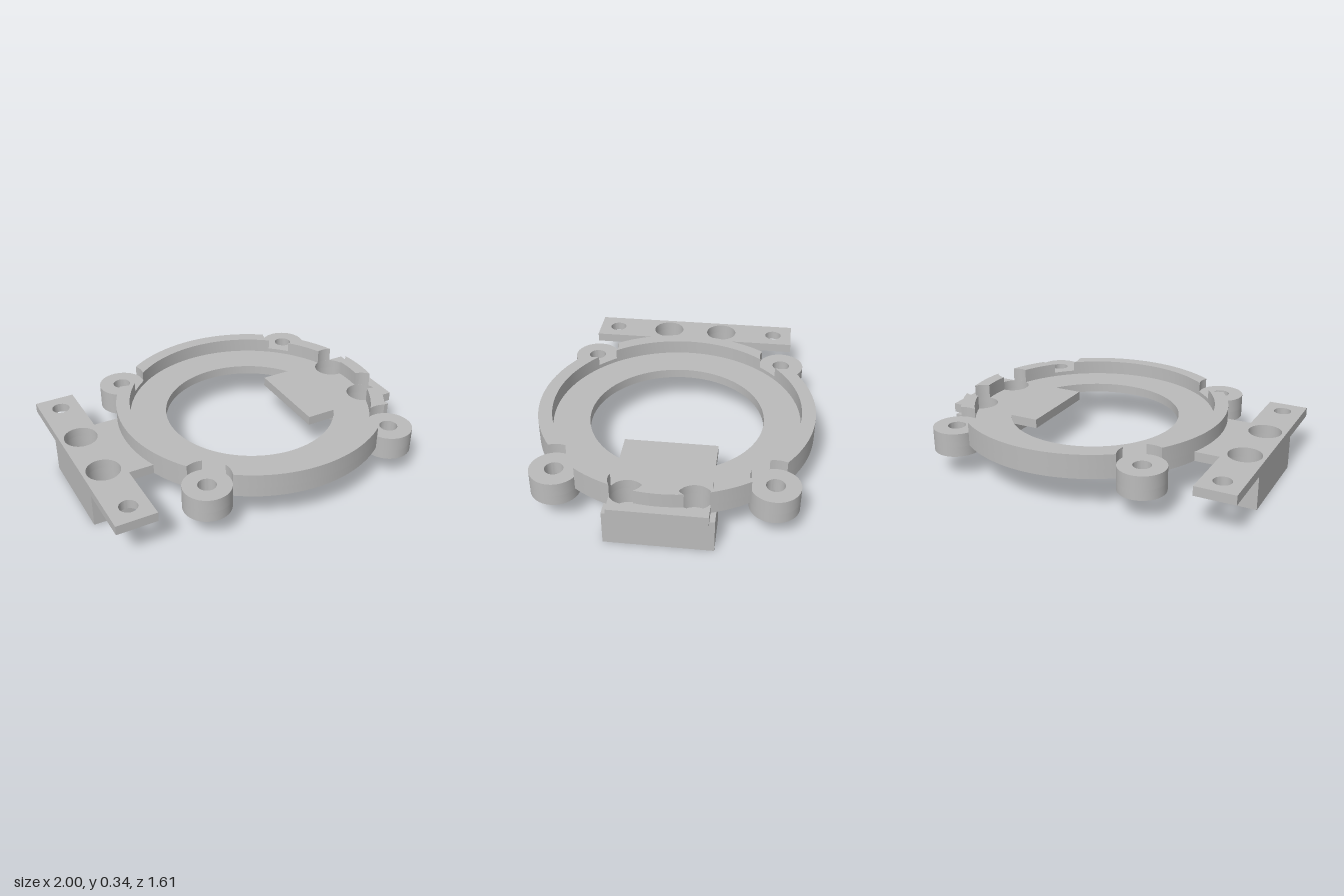
import * as THREE from 'three';
import { toCreasedNormals } from 'three/addons/utils/BufferGeometryUtils.js';

const CX = 0.14;                                   // ring centre on x
const OUTER = 0.805, RIM_IN = 0.725, BORE = 0.51;  // ring radii
const TAB = 0.267;                                 // half width of both tabs
const SCREW = 0.052, COUNTERBORE = 0.097, LUG = 0.137;
const Y_PLATE = 0.2, Y_FLOOR = 0.255, Y_RIM = 0.34;

// Point on a circle about the ring centre
const polar = (r, a) => new THREE.Vector2(CX + r * Math.cos(a), r * Math.sin(a));

function arc(r, a0, a1) {
  const n = Math.max(2, Math.ceil(Math.abs(a1 - a0) / 0.05));
  return Array.from({ length: n + 1 }, (_, i) => polar(r, a0 + (a1 - a0) * i / n));
}

function circle(x, z, r, n = 40) {
  return Array.from({ length: n }, (_, i) => {
    const a = i / n * Math.PI * 2;
    return new THREE.Vector2(x + r * Math.cos(a), z + r * Math.sin(a));
  });
}

// A round cut through the rim, given by its centre and radius
function makeCut(x, z, r) {
  const d = Math.hypot(x - CX, z);
  const angle = (Math.atan2(z, x - CX) + Math.PI * 2) % (Math.PI * 2);
  const half = R => Math.acos((R * R + d * d - r * r) / (2 * R * d));
  // Cut edge from the outer to the inner radius, on one side of the cut
  const edge = side => Array.from({ length: 9 }, (_, i) => {
    const R = OUTER + (RIM_IN - OUTER) * i / 8;
    return polar(R, angle + side * half(R));
  });
  return { angle, half, edge };
}

// Extrude a plan outline between two heights
function slab(outline, holes, y0, y1) {
  const shape = new THREE.Shape(outline);
  holes.forEach(h => shape.holes.push(new THREE.Path(h)));
  const g = new THREE.ExtrudeGeometry(shape, { depth: y1 - y0, bevelEnabled: false });
  g.rotateX(-Math.PI / 2).translate(0, y0, 0);
  return toCreasedNormals(g, 0.4);
}

const rect = (x0, x1, z) => [[x0, -z], [x1, -z], [x1, z], [x0, z]].map(p => new THREE.Vector2(...p));

export function createModel() {
  const model = new THREE.Group();
  model.name = 'mountingRing';
  const grey = new THREE.MeshStandardMaterial({ color: 0xbbbbbb });
  grey.name = 'grey';
  const add = (name, geometry) => {
    const mesh = new THREE.Mesh(geometry, grey);
    mesh.name = name;
    model.add(mesh);
  };

  const lugs = [[0.735, 0.595], [-0.455, 0.595], [-0.455, -0.595], [0.735, -0.595]];
  const lugCuts = lugs.map(([x, z]) => makeCut(x, z, LUG));
  const boreCuts = [0.18, -0.18].map(z => makeCut(0.85, z, COUNTERBORE));

  // Base plate: ring floor, inner and outer tabs and the mounting strip in one outline
  const tabAngle = Math.asin(TAB / OUTER);
  const outline = [new THREE.Vector2(1, -TAB), new THREE.Vector2(1, TAB)];
  let from = tabAngle;
  const bite = cut => {
    const h = cut.half(OUTER), k = cut.half(RIM_IN);
    outline.push(...arc(OUTER, from, cut.angle - h).slice(0, -1), ...cut.edge(-1),
      ...arc(RIM_IN, cut.angle - k, cut.angle + k).slice(1, -1),
      ...cut.edge(1).reverse().slice(0, -1));
    from = cut.angle + h;
  };
  bite(lugCuts[0]);
  bite(lugCuts[1]);
  outline.push(...arc(OUTER, from, Math.PI - tabAngle));
  const strip = [[-0.765, TAB], [-0.765, 0.655], [-1, 0.655], [-1, -0.655], [-0.765, -0.655], [-0.765, -TAB]];
  outline.push(...strip.map(p => new THREE.Vector2(...p)));
  from = Math.PI + tabAngle;
  bite(lugCuts[2]);
  bite(lugCuts[3]);
  outline.push(...arc(OUTER, from, Math.PI * 2 - tabAngle));

  const boreAngle = Math.asin(TAB / BORE);
  const opening = [...arc(BORE, boreAngle, Math.PI * 2 - boreAngle),
    new THREE.Vector2(0.4, -TAB), new THREE.Vector2(0.4, TAB)];
  const plateHoles = [opening];
  for (const s of [1, -1]) {
    plateHoles.push(circle(0.85, s * 0.18, COUNTERBORE), circle(-0.88, s * 0.18, COUNTERBORE),
      circle(-0.88, s * 0.535, SCREW));
  }
  add('basePlate', slab(outline, plateHoles, Y_PLATE, Y_FLOOR));

  // Raised rim, broken at every lug and counterbore
  const cuts = [...lugCuts, ...boreCuts].sort((a, b) => a.angle - b.angle);
  cuts.forEach((cut, i) => {
    const next = cuts[(i + 1) % cuts.length];
    const end = next.angle + (i === cuts.length - 1 ? Math.PI * 2 : 0);
    const segment = [
      ...arc(OUTER, cut.angle + cut.half(OUTER), end - next.half(OUTER)).slice(0, -1),
      ...next.edge(-1),
      ...arc(RIM_IN, end - next.half(RIM_IN), cut.angle + cut.half(RIM_IN)).slice(1, -1),
      ...cut.edge(1).reverse().slice(0, -1),
    ];
    add('rimSegment', slab(segment, [], Y_FLOOR, Y_RIM));
  });

  // Screw lugs: round hole above, hexagonal nut pocket below
  for (const [x, z] of lugs) {
    const top = circle(x, z, LUG, 48).map(p => {
      const r = Math.hypot(p.x - CX, p.y);
      return r < RIM_IN ? polar(RIM_IN, Math.atan2(p.y, p.x - CX)) : p;
    });
    add('lugTop', slab(top, [circle(x, z, SCREW)], Y_PLATE, 0.28));
    add('lugNutPocket', slab(circle(x, z, LUG, 48), [circle(x, z, 0.098, 6)], 0.14, Y_PLATE));
  }

  // Standoff blocks with counterbored screw holes
  for (const [name, x0, x1, hx] of [['rightBlock', -1, -0.765, -0.88], ['leftBlock', 0.73, 0.97, 0.85]]) {
    const holes = r => [circle(hx, 0.18, r), circle(hx, -0.18, r)];
    add(name + 'Lower', slab(rect(x0, x1, 0.297), holes(SCREW), 0, 0.1));
    add(name + 'Upper', slab(rect(x0, x1, 0.297), holes(COUNTERBORE), 0.1, Y_PLATE));
  }
  return model;
}
